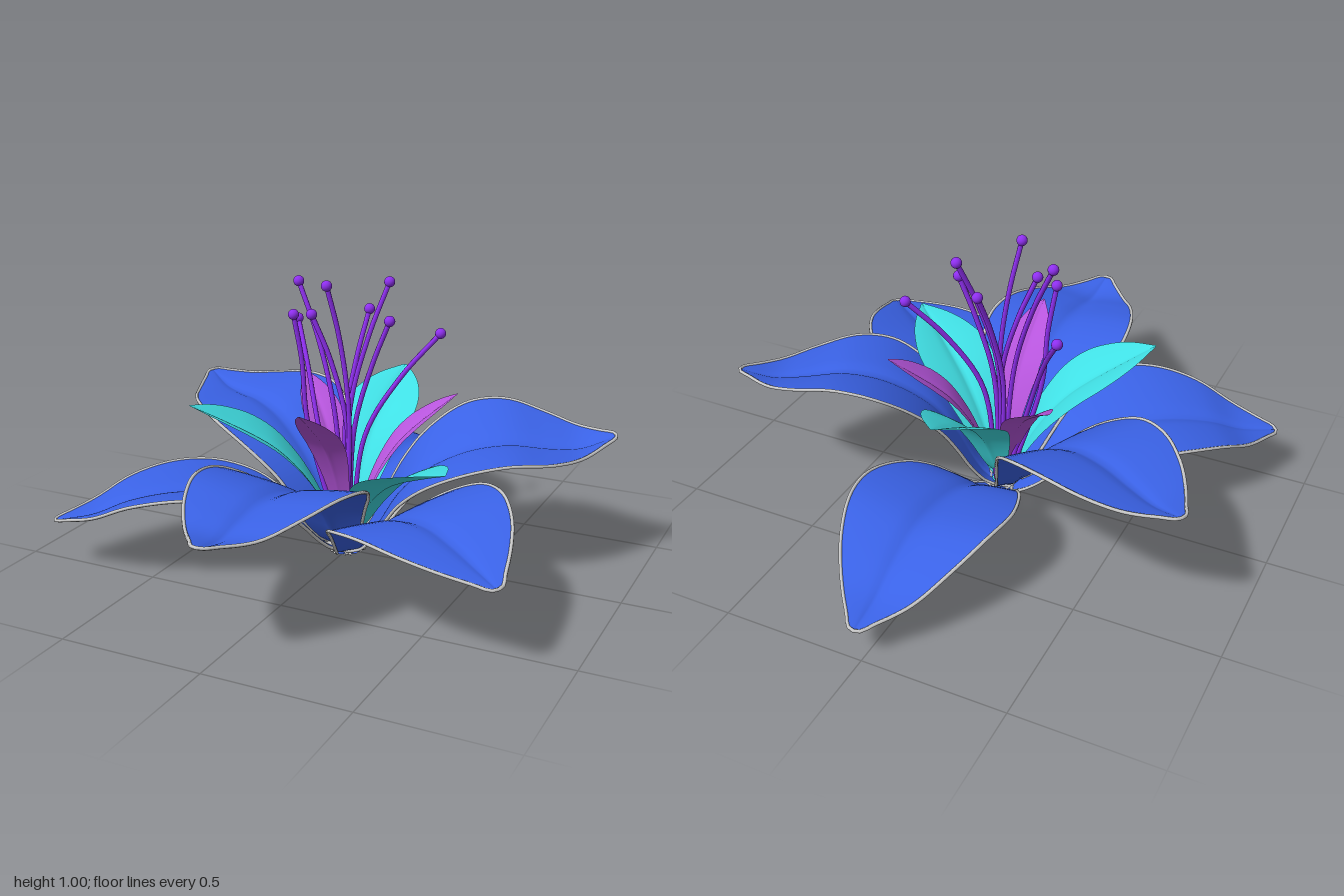
import * as THREE from 'three';
import { ParametricGeometry } from 'three/addons/geometries/ParametricGeometry.js';

const paint = (color) => new THREE.MeshStandardMaterial({ color, side: THREE.DoubleSide });
const blue = paint(0x3a62e6), cyan = paint(0x40dfe4), orchid = paint(0xb655dc);
const violet = paint(0x8f2ff0), grey = paint(0xcccccc);

// Stations along a petal, from just behind the centre to the tip (fraction of its length)
const STATIONS = [-0.06, 0.06, 0.2, 0.3, 0.45, 0.6, 0.75, 0.87, 1];
const OUTER_WIDTH = [0.02, 0.07, 0.16, 0.22, 0.268, 0.255, 0.2, 0.125, 0.018];
const INNER_WIDTH = [0.1, 0.28, 0.58, 0.78, 0.98, 1, 0.8, 0.5, 0.03];
const INNER_RISE = [0.06, 0.17, 0.41, 0.55, 0.7, 0.8, 0.88, 0.94, 1];

// Surface of a petal: a midline rising to the tip, raised sides and a narrow central groove
function petalSurface({ tip, heights, widths, cup, bend = 0, roll = 0 }) {
  const length = Math.hypot(...tip);
  const dx = tip[0] / length, dz = tip[1] / length;
  const spine = new THREE.CatmullRomCurve3(
    STATIONS.map((s, i) => new THREE.Vector3(s * length, heights[i], widths[i])));
  return (t, u, target) => {
    const p = spine.getPoint(t);
    const s = u * 2 - 1, a = Math.abs(s);
    const side = s * p.z + bend * Math.sin(Math.PI * t);
    const groove = 0.04 * p.z * Math.exp(-((a / 0.12) ** 2));
    const lift = cup * p.z * a * (1.6 - 0.6 * a) - groove + roll * s * p.z;
    return target.set(p.x * dx - side * dz, p.y + lift, p.x * dz + side * dx);
  };
}

function petalMesh(name, surface, material) {
  const geometry = new ParametricGeometry(surface, 36, 24);
  geometry.computeVertexNormals();
  const mesh = new THREE.Mesh(geometry, material);
  mesh.name = name;
  return mesh;
}

// Pale rim running up one edge, round the tip and down the other
function rimMesh(surface) {
  const points = [];
  const n = 24;
  for (let i = 0; i <= n; i++) points.push(surface(i / n, 0, new THREE.Vector3()));
  for (let i = n; i >= 0; i--) points.push(surface(i / n, 1, new THREE.Vector3()));
  const path = new THREE.CatmullRomCurve3(points);
  const mesh = new THREE.Mesh(new THREE.TubeGeometry(path, 120, 0.006, 6), grey);
  mesh.name = 'petalRim';
  return mesh;
}

export function createModel() {
  const flower = new THREE.Group();
  flower.name = 'flower';

  // Six large outer petals, alternately high and drooping
  const outer = [
    { tip: [0, 0.99], heights: [0.008, 0.045, 0.225, 0.315, 0.385, 0.41, 0.395, 0.375, 0.4] },
    { tip: [0.865, -0.33], heights: [0.008, 0.045, 0.25, 0.345, 0.42, 0.445, 0.43, 0.425, 0.46],
      bend: 0.05, roll: -0.15 },
    { tip: [-0.82, -0.455], heights: [0.008, 0.045, 0.24, 0.33, 0.405, 0.43, 0.425, 0.425, 0.455],
      bend: -0.01, roll: 0.08 },
    { tip: [0.025, -0.99], heights: [0.008, 0.025, 0.145, 0.2, 0.235, 0.24, 0.195, 0.135, 0.11] },
    { tip: [0.785, 0.635], heights: [0.008, 0.025, 0.155, 0.225, 0.29, 0.32, 0.315, 0.3, 0.28],
      bend: -0.005, roll: -0.14 },
    { tip: [-0.855, 0.55], heights: [0.008, 0.025, 0.16, 0.22, 0.255, 0.26, 0.235, 0.19, 0.17],
      bend: -0.005, roll: -0.08 },
  ];
  for (const spec of outer) {
    const surface = petalSurface({ ...spec, widths: OUTER_WIDTH, cup: 0.15 });
    const petal = new THREE.Group();
    petal.name = 'outerPetal';
    petal.add(petalMesh('petalBlade', surface, blue), rimMesh(surface));
    flower.add(petal);
  }

  // Two inner rings of three petals: [tip x, tip height, tip z]
  const rings = [
    { name: 'middlePetal', material: cyan, width: 0.137,
      tips: [[0, 0.565, -0.51], [0.5, 0.48, 0.34], [-0.46, 0.565, 0.29]] },
    { name: 'innerPetal', material: orchid, width: 0.075,
      tips: [[0, 0.61, 0.36], [0.33, 0.575, -0.21], [-0.3, 0.565, -0.27]] },
  ];
  for (const { name, material, width, tips } of rings) {
    for (const [x, y, z] of tips) {
      const surface = petalSurface({
        tip: [x, z], heights: INNER_RISE.map((h) => h * y),
        widths: INNER_WIDTH.map((w) => w * width), cup: 0.22,
      });
      flower.add(petalMesh(name, surface, material));
    }
  }

  // Nine stamens flaring out from the centre: [bead x, y, z, stem x at mid height]
  const stamens = [
    [-0.29, 0.785, -0.195, -0.13], [-0.185, 0.86, 0.04, -0.145], [-0.205, 0.96, -0.04, -0.05],
    [-0.11, 0.87, 0.05, 0.01], [-0.04, 0.98, 0.075, 0.02], [0.015, 0.86, -0.15, -0.02],
    [0.095, 0.965, -0.14, 0], [0.145, 0.855, -0.03, 0.03], [0.275, 0.795, -0.17, 0.055],
  ];
  const beadGeometry = new THREE.SphereGeometry(0.019, 16, 12);
  for (const [x, y, z, midX] of stamens) {
    const path = new THREE.CatmullRomCurve3([
      new THREE.Vector3(midX * 0.2, 0.05, z * 0.1),
      new THREE.Vector3(midX, y * 0.55, z * 0.25 + 0.01),
      new THREE.Vector3(midX * 0.52 + x * 0.48, y * 0.81, z * 0.55),
      new THREE.Vector3(x, y, z),
    ]);
    const stamen = new THREE.Group();
    stamen.name = 'stamen';
    const filament = new THREE.Mesh(new THREE.TubeGeometry(path, 24, 0.009, 8), violet);
    filament.name = 'filament';
    const anther = new THREE.Mesh(beadGeometry, violet);
    anther.name = 'anther';
    anther.position.set(x, y, z);
    stamen.add(filament, anther);
    flower.add(stamen);
  }
  return flower;
}
